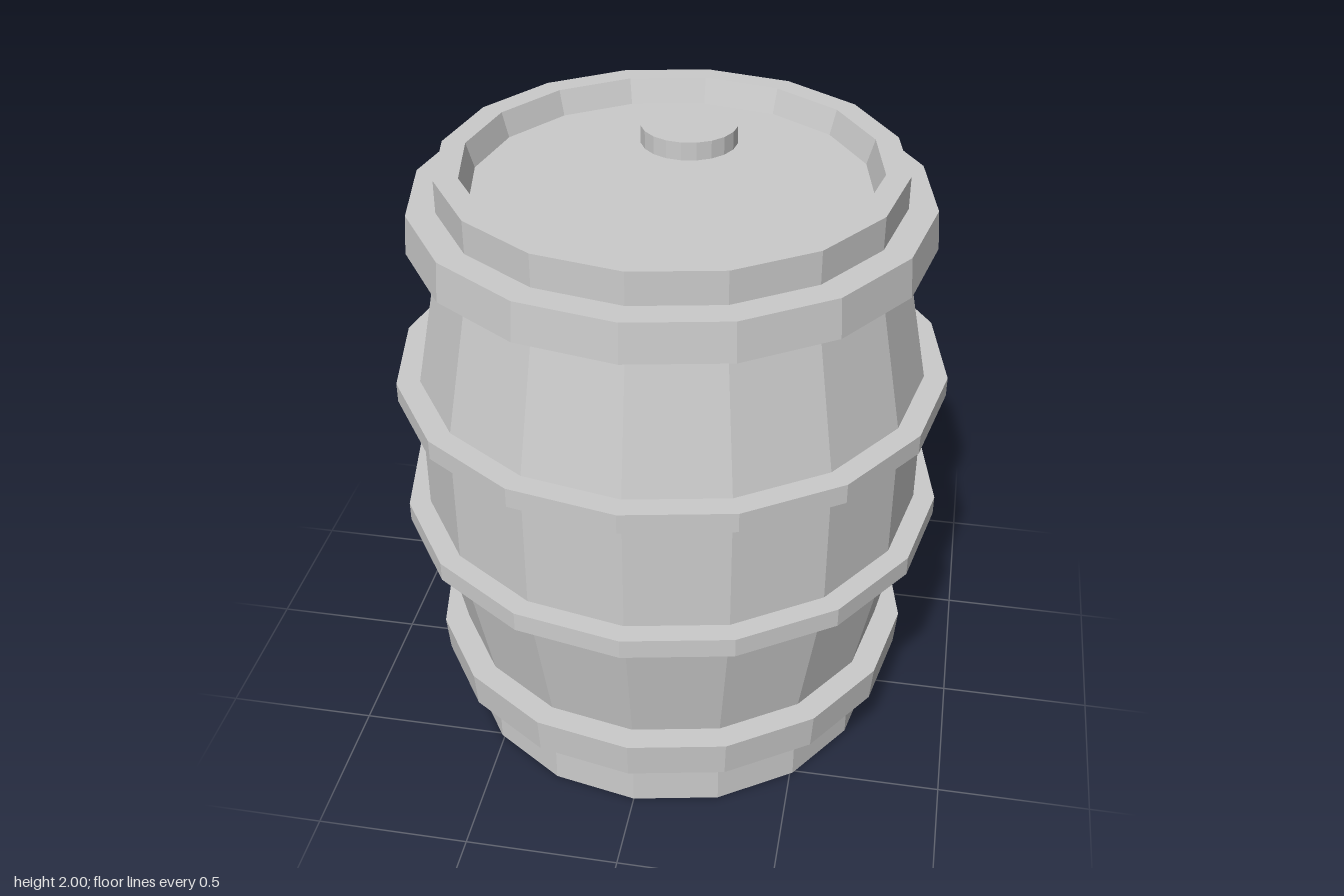
import * as THREE from 'three';

const SIDES = 16;

export function createModel() {
  const model = new THREE.Group();
  model.name = 'barrel';
  const material = new THREE.MeshStandardMaterial({ color: 0xcccccc, flatShading: true });

  const add = (name, geometry) => {
    const mesh = new THREE.Mesh(geometry, material);
    mesh.name = name;
    model.add(mesh);
    return mesh;
  };

  // Revolve [radius, height] pairs, listed from the bottom up the outside
  const lathe = (name, profile) =>
    add(name, new THREE.LatheGeometry(profile.map(([r, y]) => new THREE.Vector2(r, y)), SIDES));

  // Bulging staves with a recessed base and lid
  lathe('body', [
    [0, 0.055], [0.56, 0.055], [0.645, 0], [0.72, 0],
    [0.72, 0.29], [0.82, 0.8], [0.82, 1.29], [0.72, 1.8],
    [0.72, 2], [0.645, 2], [0.62, 1.92], [0, 1.92],
  ]);

  // Hoops: bottom height, top height, bottom radius, top radius, inner radius
  const hoops = [
    ['bottomHoop', 0.2, 0.325, 0.8, 0.81, 0.7],
    ['lowerMiddleHoop', 0.78, 0.845, 0.89, 0.89, 0.79],
    ['upperMiddleHoop', 1.25, 1.315, 0.89, 0.89, 0.79],
    ['topHoop', 1.77, 1.895, 0.82, 0.81, 0.7],
  ];
  for (const [name, y0, y1, r0, r1, inner] of hoops) {
    lathe(name, [[inner, y0], [r0, y0], [r1, y1], [inner, y1]]);
  }

  // Bung near the back of the lid
  add('bung', new THREE.CylinderGeometry(0.157, 0.157, 0.08, 20)).position.set(0, 1.94, -0.32);

  return model;
}
